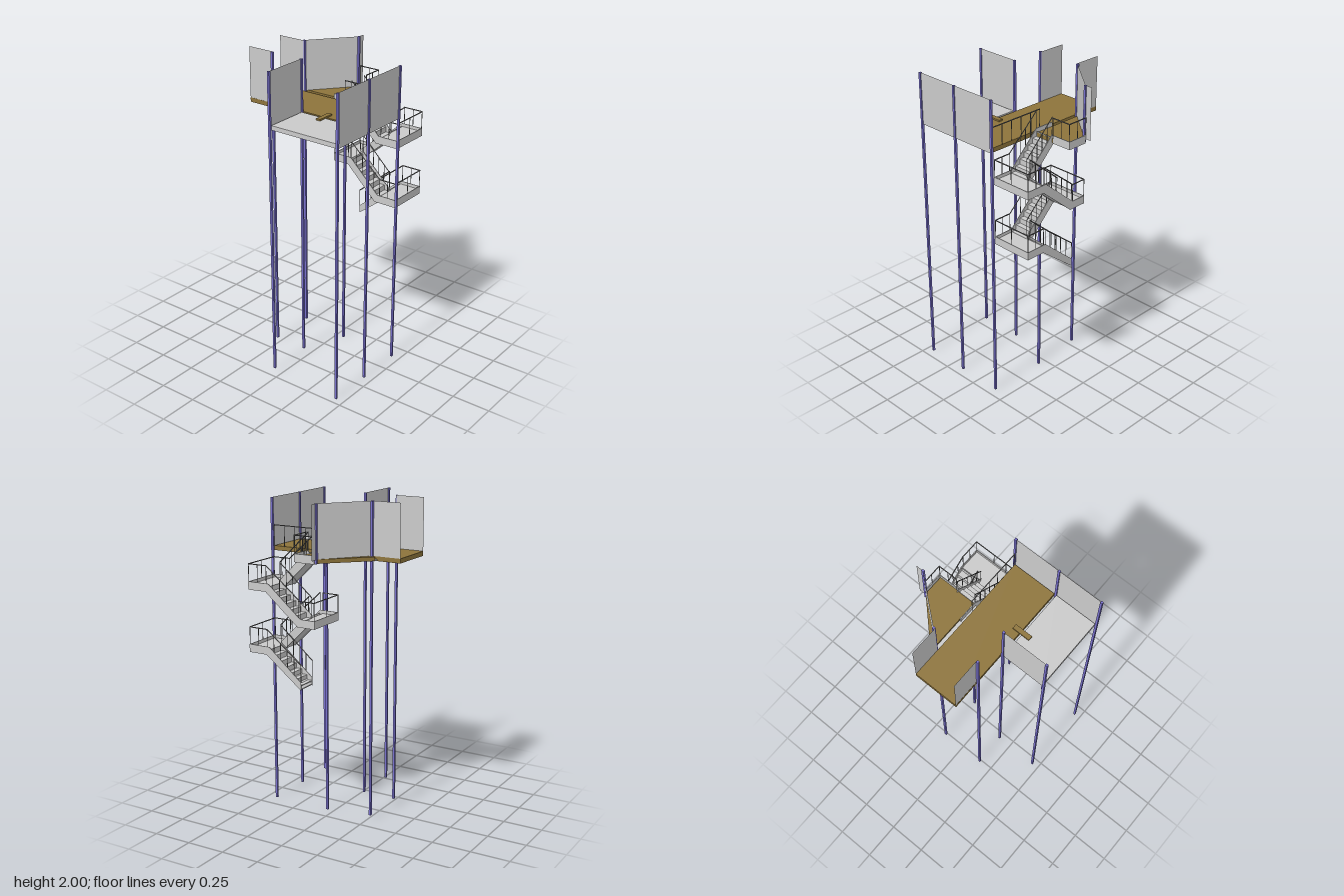
import * as THREE from 'three';

const mat = (name, color) => {
  const m = new THREE.MeshStandardMaterial({ color, side: THREE.DoubleSide });
  m.name = name;
  return m;
};

export function createModel() {
  const root = new THREE.Group();
  root.name = 'elevatedPlatform';
  const grey = mat('light grey', 0xcacaca);
  const brown = mat('timber brown', 0x8d743b);
  const blue = mat('column blue', 0x7870cc);
  const steel = mat('railing grey', 0x707070);

  const add = (name, geo, m, parent = root) => {
    const mesh = new THREE.Mesh(geo, m);
    mesh.name = name;
    parent.add(mesh);
    return mesh;
  };
  // Box given by its limits on each axis
  const box = (name, [x0, x1], [y0, y1], [z0, z1], m, parent) => {
    const mesh = add(name, new THREE.BoxGeometry(x1 - x0, y1 - y0, z1 - z0), m, parent);
    mesh.position.set((x0 + x1) / 2, (y0 + y1) / 2, (z0 + z1) / 2);
    return mesh;
  };
  // Square bar between two points
  const bar = (name, a, b, w, m, parent) => {
    const dir = b.clone().sub(a);
    const mesh = add(name, new THREE.BoxGeometry(w, w, dir.length() + w * 0.8), m, parent);
    mesh.position.copy(a).add(b).multiplyScalar(0.5);
    mesh.quaternion.setFromUnitVectors(new THREE.Vector3(0, 0, 1), dir.normalize());
  };
  // Shape in the xy plane, extruded from z0 to z1
  const prism = (name, pts, z0, z1, m, parent) => {
    const shape = new THREE.Shape(pts.map(p => new THREE.Vector2(p[0], p[1])));
    const geo = new THREE.ExtrudeGeometry(shape, { depth: z1 - z0, bevelEnabled: false });
    geo.translate(0, 0, z0);
    return add(name, geo, m, parent);
  };

  // Columns: x, z, bottom, top
  const columns = [
    [-0.265, -0.148, 0.03, 2], [-0.265, 0.16, 0.03, 2],
    [-0.045, 0.16, 0.03, 2], [-0.045, 0.455, 0.03, 2],
    [0.44, -0.148, 0, 1.975], [0.44, 0.16, 0, 1.975], [0.44, 0.455, 0, 1.975],
    [0.05, -0.148, 0, 1.65], [-0.045, -0.413, 1.65, 2],
  ];
  for (const [x, z, y0, y1] of columns)
    box('column', [x - 0.007, x + 0.007], [y0, y1], [z - 0.007, z + 0.007], blue);

  // Decks
  box('mainDeck', [-0.45, 0.432], [1.647, 1.675], [-0.14, 0.153], brown);
  box('frontFloor', [-0.038, 0.432], [1.647, 1.675], [0.168, 0.449], grey);
  box('deckPlank', [0.11, 0.14], [1.675, 1.685], [0.105, 0.222], brown);
  box('floorStrip', [-0.295, 0.09], [1.65, 1.66], [-0.165, -0.141], grey);
  const rear = prism('rearDeck', [[-0.295, 0.165], [0.092, 0.165], [0.092, 0.42], [-0.04, 0.42]], 0, 0.025, brown);
  rear.rotation.x = -Math.PI / 2;
  rear.position.y = 1.651;

  // Thin wall panels between plan points
  const panel = (x0, z0, x1, z1, y0, y1) => {
    const mesh = add('wallPanel', new THREE.PlaneGeometry(Math.hypot(x1 - x0, z1 - z0), y1 - y0), grey);
    mesh.position.set((x0 + x1) / 2, (y0 + y1) / 2, (z0 + z1) / 2);
    mesh.rotation.y = -Math.atan2(z1 - z0, x1 - x0);
  };
  panel(-0.45, 0.152, -0.265, 0.152, 1.675, 2);
  panel(-0.45, -0.14, -0.265, -0.14, 1.675, 2);
  panel(-0.265, -0.148, -0.045, -0.413, 1.673, 2);
  panel(-0.045, -0.413, -0.045, -0.46, 1.673, 2);
  panel(-0.045, 0.16, -0.045, 0.455, 1.647, 2);
  panel(0.44, 0.455, 0.44, -0.148, 1.647, 1.975);

  // Railing along a path of base points
  const V = (x, y, z) => new THREE.Vector3(x, y, z);
  const railing = (pts, h = 0.108, gap = 0.06) => {
    const g = new THREE.Group();
    g.name = 'railing';
    root.add(g);
    const up = V(0, h, 0);
    for (let i = 0; i + 1 < pts.length; i++) {
      const a = pts[i], b = pts[i + 1];
      bar('handrail', a.clone().add(up), b.clone().add(up), 0.005, steel, g);
      const n = Math.max(1, Math.round(a.distanceTo(b) / gap));
      for (let k = i ? 1 : 0; k <= n; k++) {
        const p = a.clone().lerp(b, k / n);
        bar('railPost', p, p.clone().add(up), 0.003, steel, g);
      }
    }
  };

  // Stair layout: inner flights fall towards +x, outer flights rise towards +x
  const L = -0.04, R = 0.43, T = 0.005;
  const inner = { z0: -0.285, z1: -0.157, s: -1, xa: 0.09, xb: 0.295 };
  const outer = { z0: -0.427, z1: -0.3, s: 1, xa: 0.06, xb: 0.285 };
  // Band under a stepped line; its lower edge is shifted to mitre the bends
  const band = (name, top, d0, d1, s, z0, z1) => {
    const at = d => top.map(([x, y, bend]) => [x + (bend ? s * 0.4 * d : 0), y - d]);
    prism(name, [...at(d0), ...at(d1).reverse()], z0, z1, grey);
  };
  const flight = ({ z0, z1, s, xa, xb }, ya, yb, hasLeft = true) => {
    const slope = [[xa, ya, hasLeft], [xb, yb, true]];
    const full = [...(hasLeft ? [[L, ya]] : []), ...slope, [R, yb]];
    const outside = s < 0 ? z1 : z0, middle = s < 0 ? z0 : z1;
    // Stringers and soffit
    band('outerStringer', full, 0, 0.05, s, outside - T / 2, outside + T / 2);
    band('middleStringer', slope, 0, 0.05, s, middle - T / 2, middle + T / 2);
    band('stairSoffit', slope, 0.04, 0.046, s, z0, z1);
    // Steps
    const n = 6, run = (xb - xa) / n, rise = (yb - ya) / n;
    for (let i = 0; i < n; i++) {
      const x = xa + i * run;
      const y = ya - 0.018 + rise * (s < 0 ? i + 1 : i);
      box('tread', [x, x + run], [y - 0.004, y], [z0, z1], grey);
      const rx = s < 0 ? x : x + run;
      box('riser', [rx - 0.001, rx + 0.001], [y, y + Math.abs(rise)], [z0, z1], grey);
    }
    // Railings on both sides of the slope, the outside one continuing round the landing
    railing([V(xa, ya, middle), V(xb, yb, middle)], 0.108, 0.055);
    railing([V(xa, ya, outside), V(xb + 0.015, yb, outside), V(R - 0.003, yb, outside)], 0.108, 0.06);
  };
  flight(outer, 0.92, 1.11, false);
  flight(inner, 1.31, 1.11);
  flight(outer, 1.31, 1.5);
  flight(inner, 1.7, 1.5);

  // Landings
  const landing = (x0, x1, xEnd, y) => {
    box('landing', [x0, x1], [y - 0.046, y - 0.02], [outer.z0, inner.z1], grey);
    box('landingEdge', [xEnd - T / 2, xEnd + T / 2], [y - 0.05, y], [outer.z0, inner.z1], grey);
  };
  for (const y of [1.11, 1.5]) {
    landing(0.29, R, R - T / 2, y);
    railing([V(R - 0.003, y, inner.z1), V(R - 0.003, y, outer.z0)], 0.108, 0.13);
  }
  landing(L, 0.07, L + T / 2, 1.31);
  railing([V(0.07, 1.31, inner.z1), V(L + 0.003, 1.31, inner.z1),
    V(L + 0.003, 1.31, outer.z0), V(0.07, 1.31, outer.z0)], 0.108, 0.12);

  // Top landing with its closed end
  box('topLanding', [L, 0.09], [1.648, 1.655], [outer.z0, inner.z1], grey);
  box('topLandingBack', [L, 0.097], [1.65, 1.7], [outer.z0 - T / 2, outer.z0 + T / 2], grey);
  box('topLandingEnd', [0.092, 0.097], [1.65, 1.7], [outer.z0, outer.z1], grey);
  railing([V(L, 1.7, outer.z0), V(0.097, 1.7, outer.z0), V(0.097, 1.7, outer.z1)], 0.108, 0.07);

  // Guard along the rear edge of the main deck
  railing([V(0.05, 1.675, -0.145), V(0.43, 1.675, -0.145)], 0.13, 0.075);

  return root;
}
